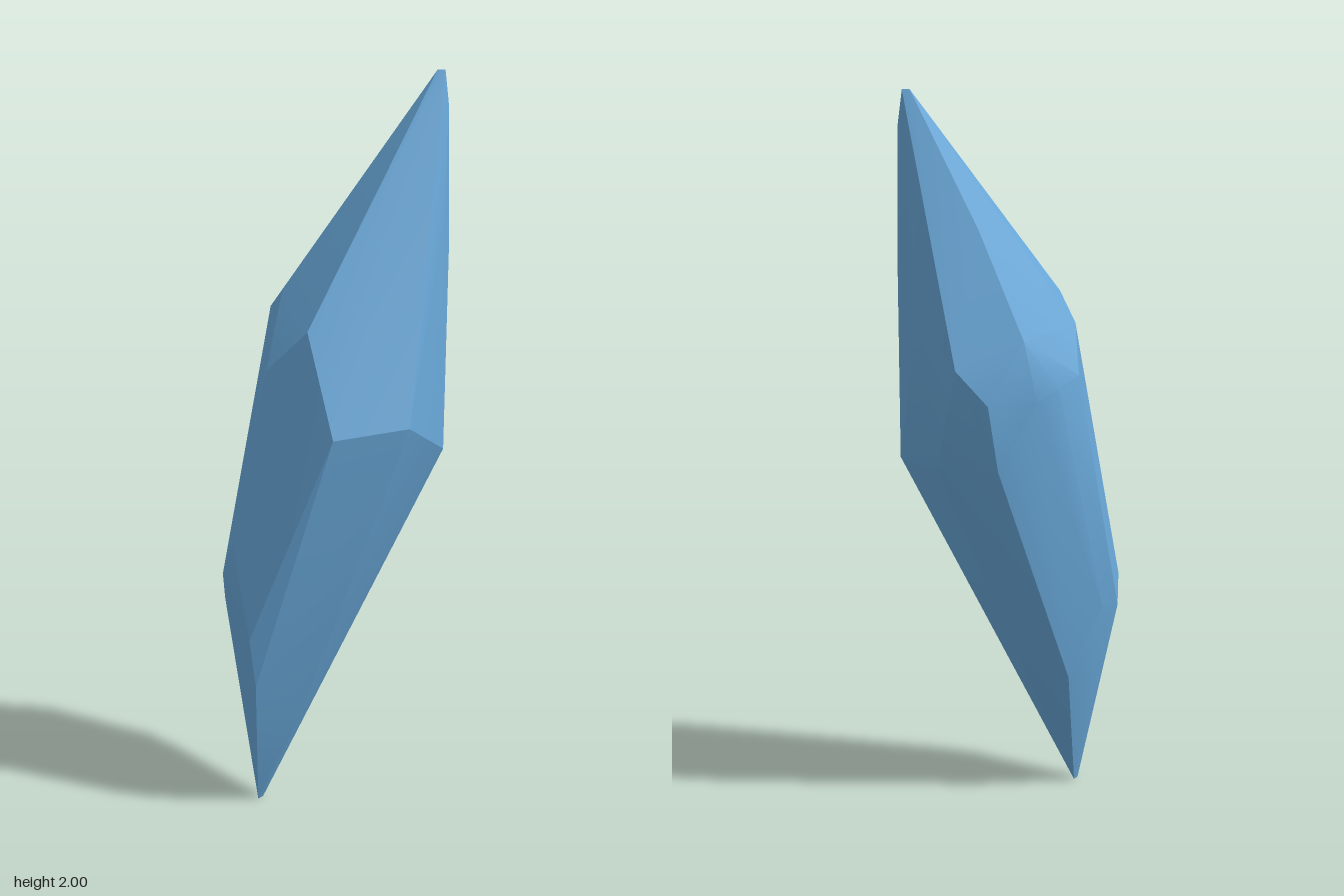
import * as THREE from 'three';
import { ConvexGeometry } from 'three/addons/geometries/ConvexGeometry.js';
import { toCreasedNormals } from 'three/addons/utils/BufferGeometryUtils.js';

const points = (list) => list.map((p) => new THREE.Vector3(...p));

// Tapered tip, from the apex down the upper ridges
const tip = points([
  [0.075, 2, -0.275], [0.09, 2, -0.29], [0.105, 1.9, -0.29],
  [-0.1, 1.62, -0.19], [0.15, 1.6, -0.235],
]);

// Corners round the wide shoulder
const shoulder = points([
  [0.055, 1.34, 0.165], [-0.065, 1.21, 0.21], [-0.135, 1.4, 0.095], [-0.215, 1.33, 0.07],
  [-0.265, 1.2, 0.03], [-0.265, 1.18, -0.05], [-0.22, 1.32, -0.14], [-0.25, 1.15, -0.12],
  [-0.18, 1.15, -0.24], [-0.115, 1.25, -0.3], [0.01, 1.4, -0.31], [0.11, 1.5, -0.285],
  [0.265, 1.08, -0.02], [0.17, 1.06, 0.17],
]);

// Lower body, where the back is undercut
const lowerBody = points([
  [0.14, 0.95, -0.24], [0, 0.94, -0.25], [-0.18, 0.96, -0.2], [-0.115, 0.73, 0.285],
  [-0.015, 0.48, 0.31], [-0.25, 0.52, 0.2], [-0.25, 0.53, 0.14], [-0.23, 0.6, 0.225],
]);

// Narrow foot
const foot = points([
  [0, 0.35, 0.3], [0.03, 0.25, 0.17], [-0.19, 0.33, 0.07],
  [-0.09, 0, 0.2], [-0.08, 0, 0.225],
]);

export function createModel() {
  const group = new THREE.Group();
  group.name = 'crystal';

  const crystalBlue = new THREE.MeshStandardMaterial({ color: 0x6aaadb });
  crystalBlue.name = 'crystal blue';

  // One faceted shard, smoothed only across shallow edges
  const hull = new ConvexGeometry([...tip, ...shoulder, ...lowerBody, ...foot]);
  const shard = new THREE.Mesh(toCreasedNormals(hull, 0.35), crystalBlue);
  shard.name = 'crystalShard';
  group.add(shard);
  return group;
}
